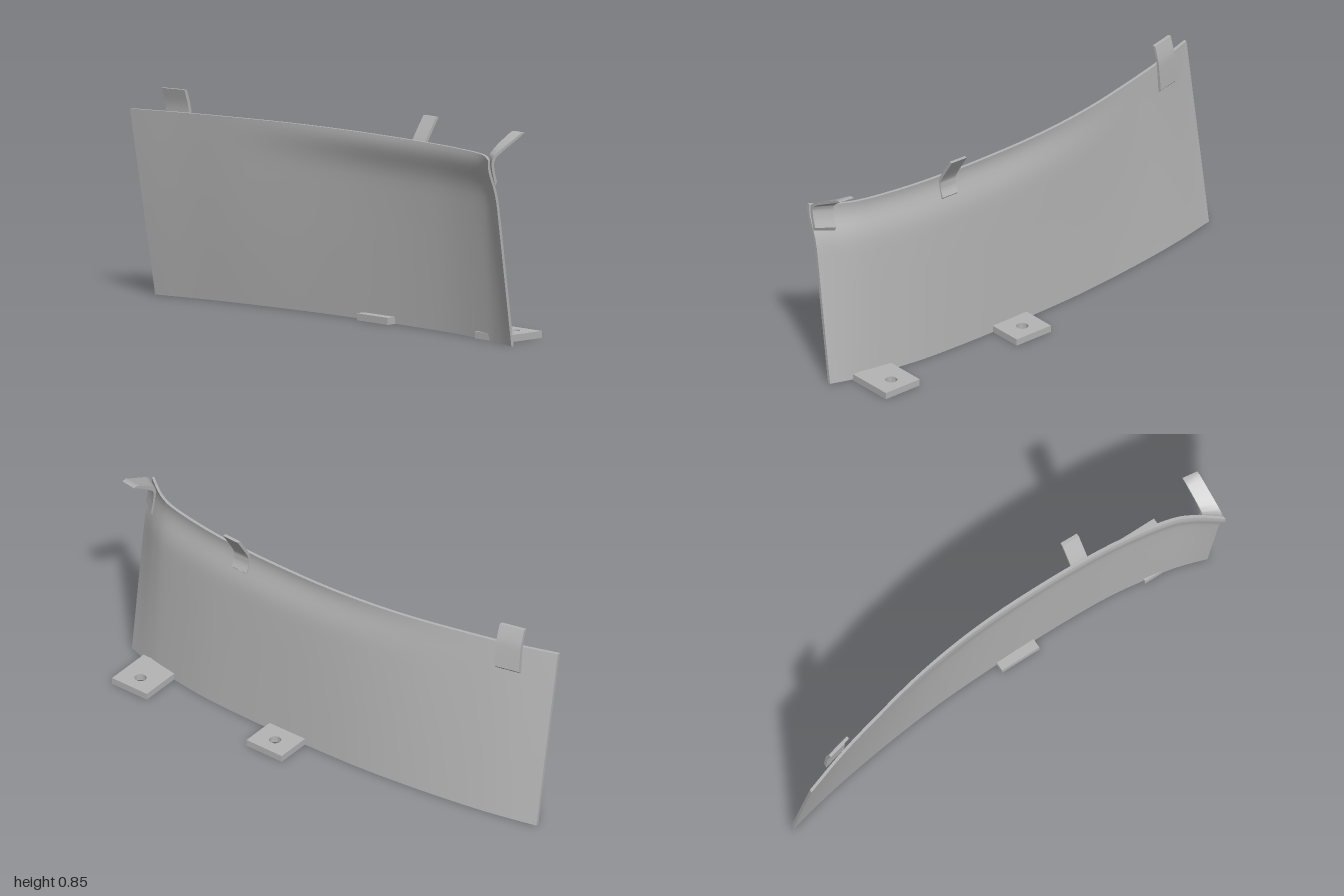
import * as THREE from 'three';
import { toCreasedNormals } from 'three/addons/utils/BufferGeometryUtils.js';

const HEIGHT = 0.757;
const THICK = 0.013;

const grey = new THREE.MeshStandardMaterial({ color: 0xb4b4b4 });
grey.name = 'plain grey';

function addMesh(group, name, geometry) {
  const mesh = new THREE.Mesh(geometry, grey);
  mesh.name = name;
  group.add(mesh);
  return mesh;
}

// Leaning curved sheet: closed cross-section rings stepped along z
function panelGeometry() {
  // z, outer x at the bottom, outer x at the top
  const stations = [
    [-1, -0.068, -0.206], [-0.8, -0.022, -0.140], [-0.6, 0.012, -0.088], [-0.4, 0.038, -0.042],
    [-0.2, 0.057, -0.010], [0, 0.066, 0.008], [0.2, 0.070, 0.013], [0.4, 0.069, 0.010],
    [0.6, 0.060, -0.004], [0.8, 0.032, -0.037], [0.9, 0.010, -0.077], [1, -0.022, -0.150],
  ];
  const rail = new THREE.CatmullRomCurve3(
    stations.map((s) => new THREE.Vector3(...s)), false, 'catmullrom', 0.5);
  // height and share of the pinch below the top lip
  const rows = [[0, 0], [0.2, 0], [0.4, 0], [0.54, 0], [0.58, 0.03], [0.61, 0.12], [0.64, 0.32],
    [0.665, 0.57], [0.69, 0.82], [0.71, 0.96], [0.73, 1], [0.745, 0.94], [HEIGHT, 0.85]];
  const n = rows.length, ring = 2 * n, steps = 66;
  const pos = [], index = [];
  for (let i = 0; i <= steps; i++) {
    const p = rail.getPoint(i / steps);
    const pinch = 0.026 * THREE.MathUtils.smoothstep(p.x, -0.7, 0.3);
    const slope = (p.y - p.z - 0.85 * pinch) / HEIGHT;
    const outer = rows.map(([y, f]) => [p.y - slope * y - pinch * f, y, p.x]);
    const inner = outer.map(([x, y, z]) => [x - THICK, y, z]).reverse();
    pos.push(...outer.flat(), ...inner.flat());
  }
  for (let i = 0; i < steps; i++) {
    for (let j = 0; j < ring; j++) {
      const k = (j + 1) % ring;
      const a = i * ring + j, b = i * ring + k;
      index.push(a, b, a + ring, b, b + ring, a + ring);
    }
  }
  // End edges
  const last = steps * ring;
  for (let j = 0; j < n - 1; j++) {
    const a = j, b = j + 1, c = ring - 2 - j, d = ring - 1 - j;
    index.push(a, d, b, b, d, c);
    index.push(last + a, last + b, last + d, last + b, last + c, last + d);
  }
  const g = new THREE.BufferGeometry();
  g.setAttribute('position', new THREE.Float32BufferAttribute(pos, 3));
  g.setIndex(index);
  return toCreasedNormals(g, 0.6);
}

// Bent strip: side profile extruded from z0 to z1, skewed to follow the panel
function tabGeometry(outer, inner, z0, z1, skew) {
  const smooth = (pts) =>
    new THREE.SplineCurve(pts.map((p) => new THREE.Vector2(...p))).getPoints(16);
  const shape = new THREE.Shape([...smooth(outer), ...smooth(inner).reverse()]);
  const g = new THREE.ExtrudeGeometry(shape, { depth: z1 - z0, bevelEnabled: false });
  const p = g.attributes.position;
  const half = (z1 - z0) / 2;
  for (let i = 0; i < p.count; i++) {
    const z = p.getZ(i) - half;
    p.setXYZ(i, p.getX(i) + skew(p.getY(i)) * z, p.getY(i), z + z0 + half);
  }
  return toCreasedNormals(g, 0.6);
}

// Flat mounting plate with a bolt hole
function footGeometry(z0, z1) {
  const x0 = 0.015, x1 = 0.216;
  const shape = new THREE.Shape([
    new THREE.Vector2(x0, -z1), new THREE.Vector2(x1, -z1),
    new THREE.Vector2(x1, -z0), new THREE.Vector2(x0, -z0),
  ]);
  const hole = new THREE.Path();
  hole.absarc(0.145, -(z0 + z1) / 2, 0.024, 0, Math.PI * 2, true);
  shape.holes.push(hole);
  const g = new THREE.ExtrudeGeometry(shape, { depth: 0.028, bevelEnabled: false, curveSegments: 24 });
  g.rotateX(-Math.PI / 2);
  return toCreasedNormals(g, 0.6);
}

export function createModel() {
  const model = new THREE.Group();
  model.name = 'curvedGuardPanel';

  addMesh(model, 'panel', panelGeometry());

  // Upper tabs
  addMesh(model, 'frontTab', tabGeometry(
    [[-0.087, 0.667], [-0.1, 0.71], [-0.102, 0.75], [-0.075, 0.778], [0.043, 0.847]],
    [[-0.097, 0.65], [-0.113, 0.71], [-0.116, 0.757], [-0.085, 0.788], [0.022, 0.847]],
    0.935, 1,
    (y) => THREE.MathUtils.lerp(-0.8, -0.15, THREE.MathUtils.smoothstep(y, 0.73, 0.847))));
  addMesh(model, 'middleTab', tabGeometry(
    [[0.029, 0.668], [0.018, 0.693], [0.015, 0.715], [0.021, 0.748], [0.084, 0.848]],
    [[0.017, 0.655], [0.006, 0.688], [0.002, 0.715], [0.009, 0.753], [0.069, 0.848]],
    0.382, 0.458, () => -0.03));
  addMesh(model, 'rearTab', tabGeometry(
    [[-0.104, 0.664], [-0.112, 0.74], [-0.12, 0.79], [-0.139, 0.848]],
    [[-0.118, 0.65], [-0.126, 0.74], [-0.134, 0.79], [-0.153, 0.848]],
    -0.873, -0.77, () => 0.25));

  // Lower mounting plates
  addMesh(model, 'frontFoot', footGeometry(0.737, 0.912));
  addMesh(model, 'middleFoot', footGeometry(0.058, 0.235));

  return model;
}
